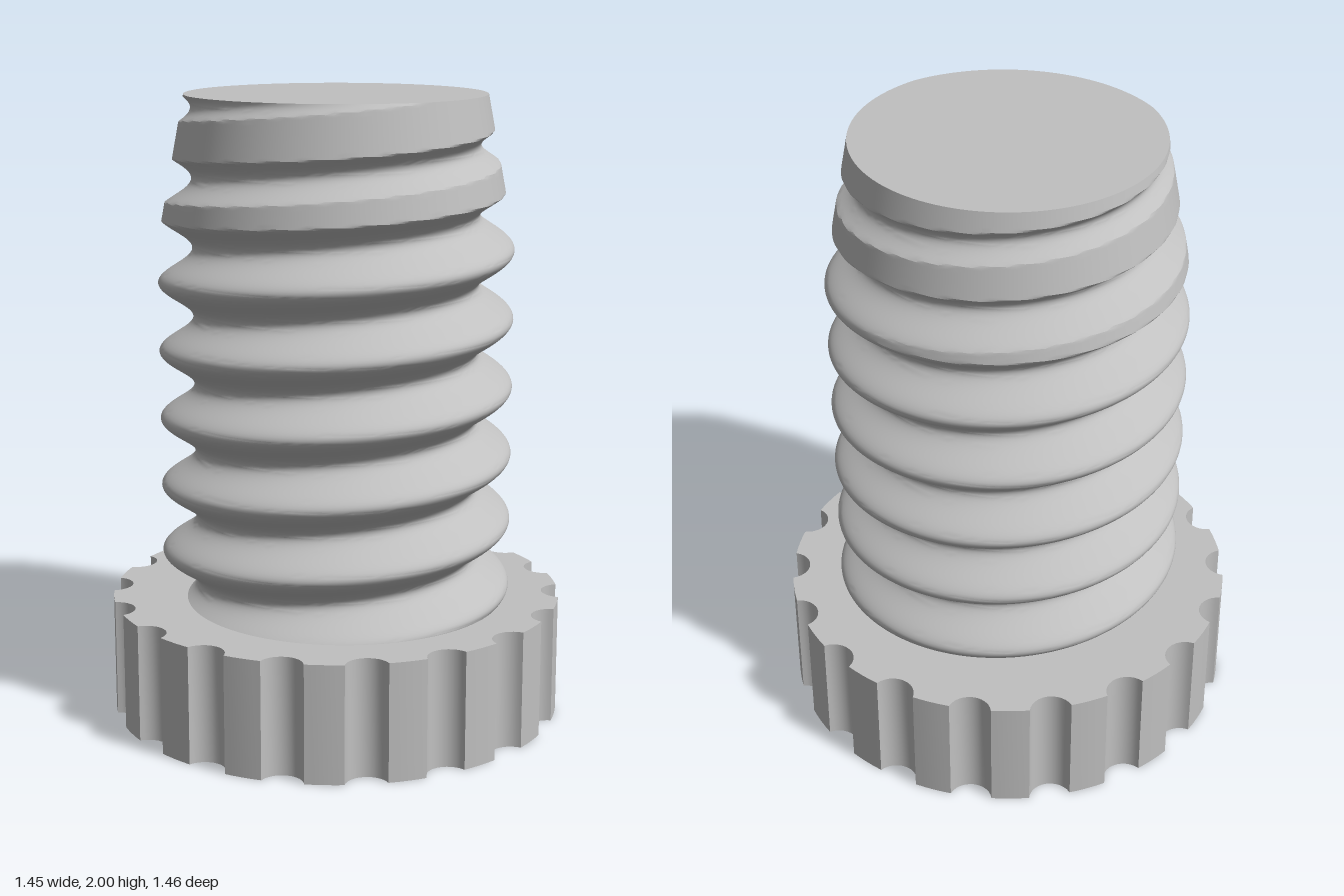
import * as THREE from 'three';
import { toCreasedNormals } from 'three/addons/utils/BufferGeometryUtils.js';

const HEAD_HEIGHT = 0.38, HEAD_RADIUS = 0.73, FLUTES = 18;
const HEIGHT = 2, PITCH = 0.22, CREST_AT = 1.215; // crest height on the +z side

// Fluted knob: teeth on the outer circle with round notches between them
function headGeometry() {
  const notchRadius = 0.0686, notchCentre = 0.7436, halfWidth = 0.066;
  const half = Math.asin(halfWidth / HEAD_RADIUS), step = Math.PI * 2 / FLUTES;
  const edge = Math.sqrt(HEAD_RADIUS ** 2 - halfWidth ** 2);
  const sweep = Math.atan2(halfWidth, notchCentre - edge);
  const points = [];
  for (let i = 0; i < FLUTES; i++) {
    const a = i * step;
    for (let k = 0; k <= 12; k++) { // notch
      const t = a + Math.PI + sweep * (1 - k / 6);
      points.push(new THREE.Vector2(
        Math.cos(a) * notchCentre + Math.cos(t) * notchRadius,
        Math.sin(a) * notchCentre + Math.sin(t) * notchRadius));
    }
    for (let k = 1; k < 4; k++) { // tooth tip
      const t = a + half + (step - 2 * half) * k / 4;
      points.push(new THREE.Vector2(Math.cos(t) * HEAD_RADIUS, Math.sin(t) * HEAD_RADIUS));
    }
  }
  const g = new THREE.ExtrudeGeometry(new THREE.Shape(points), { depth: HEAD_HEIGHT, bevelEnabled: false });
  g.rotateX(-Math.PI / 2);
  return toCreasedNormals(g, 0.5);
}

// Threaded shank: an eccentric circle twisted upward, trimmed by a tapering cone at the tip
function shankGeometry() {
  const bottom = HEAD_HEIGHT - 0.02, length = HEIGHT - bottom;
  const g = new THREE.CylinderGeometry(1, 1, length, 128, 220);
  g.translate(0, bottom + length / 2, 0);
  const p = g.attributes.position;
  for (let i = 0; i < p.count; i++) {
    const x = p.getX(i), y = p.getY(i), z = p.getZ(i);
    const phase = Math.atan2(x, z) - (y - CREST_AT) / PITCH * Math.PI * 2;
    const thread = 0.511 + 0.055 * Math.cos(phase);
    const cone = 0.477 + 0.19 * (HEIGHT - y);
    const r = Math.min(thread, cone);
    p.setXYZ(i, x * r, y, z * r);
  }
  return toCreasedNormals(g, 0.4);
}

export function createModel() {
  const grey = new THREE.MeshStandardMaterial({ color: 0xc0c0c0 });
  grey.name = 'light grey';
  const model = new THREE.Group();
  model.name = 'thumbScrew';
  const add = (name, geometry) => {
    const mesh = new THREE.Mesh(geometry, grey);
    mesh.name = name;
    model.add(mesh);
  };
  add('flutedHead', headGeometry());
  add('threadedShank', shankGeometry());
  return model;
}
